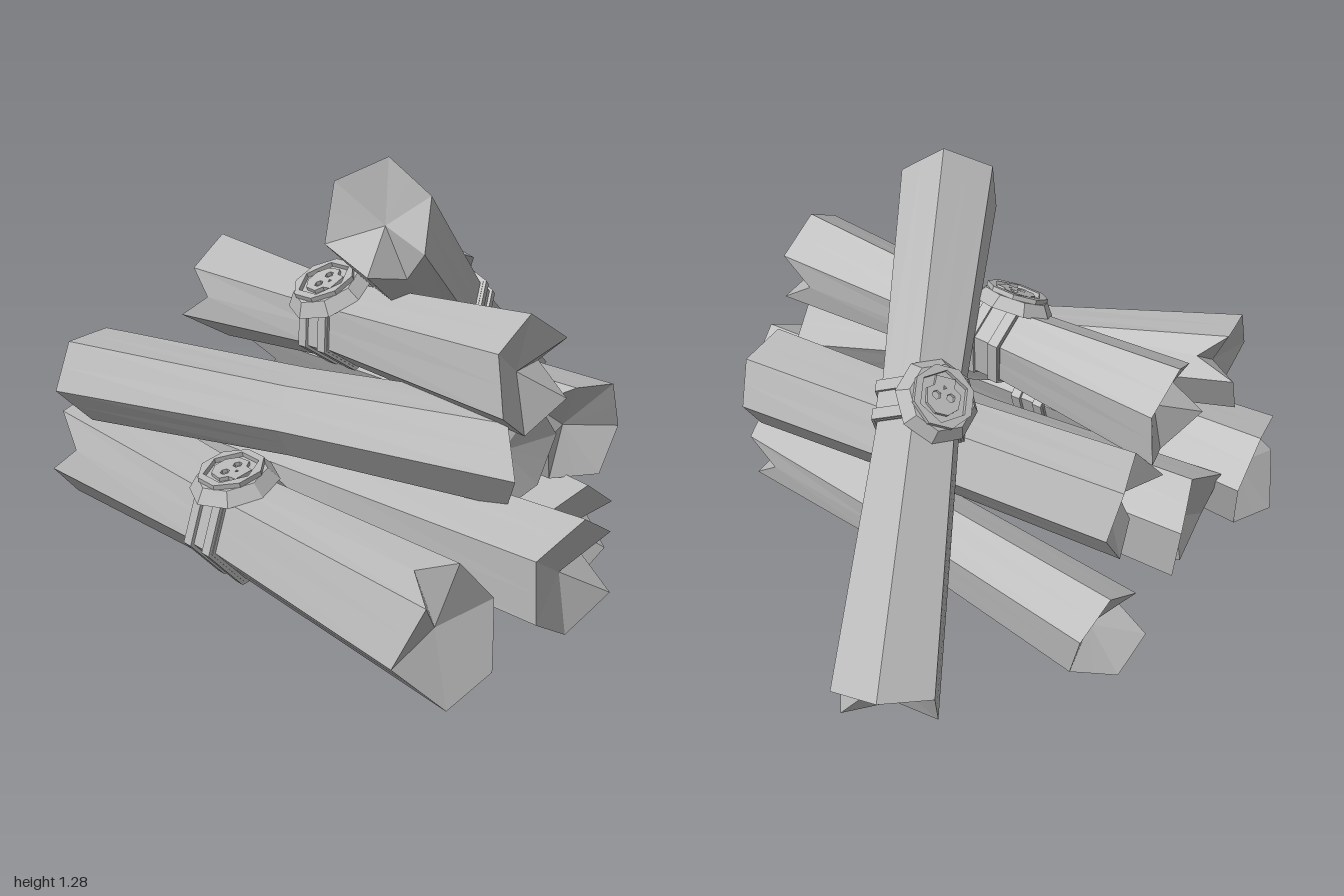
import * as THREE from 'three';

const parchment = new THREE.MeshStandardMaterial({ color: 0xb8b8b8, flatShading: true });
parchment.name = 'grey parchment';

function seeded(seed) {
  let s = seed * 7919 + 17;
  return () => ((s = (s * 16807) % 2147483647) / 2147483647);
}

// Six-sided roll along z: cinched waist, flared ragged ends with V notches and sunken caps
function rollGeometry(length, endRadius, waistRadius, waistZ, seed) {
  const rand = seeded(seed);
  const N = 12;
  const point = (j, r, z) => {
    const a = (j * Math.PI) / 6;
    const rr = j % 2 ? r * Math.cos(Math.PI / 6) : r;
    return new THREE.Vector3(Math.cos(a) * rr, Math.sin(a) * rr, z);
  };
  const endRing = (sign) => {
    const depth = Array.from({ length: 6 }, () => rand() * 0.08);
    const wide = Array.from({ length: 6 }, () => endRadius * (0.95 + rand() * 0.1));
    const notch = Math.floor(rand() * 6);
    return Array.from({ length: N }, (_, j) => {
      const k = j >> 1, n = (k + 1) % 6;
      if (j % 2 === 0) return point(j, wide[k], sign * (length / 2 - depth[k]));
      const cut = k === notch ? 0.11 : 0;
      return point(j, (wide[k] + wide[n]) / 2, sign * (length / 2 - (depth[k] + depth[n]) / 2 - cut));
    });
  };
  const middle = Array.from({ length: N }, (_, j) => point(j, waistRadius, waistZ));
  const rings = [endRing(-1), middle, endRing(1)];
  const pos = [];
  const tri = (...pts) => pts.forEach((p) => pos.push(p.x, p.y, p.z));
  const back = new THREE.Vector3(0, 0, -length / 2 + 0.11);
  const front = new THREE.Vector3(0, 0, length / 2 - 0.11);
  for (let j = 0; j < N; j++) {
    const n = (j + 1) % N;
    for (let i = 0; i < 2; i++) {
      const a = rings[i], b = rings[i + 1];
      tri(a[j], a[n], b[n]);
      tri(a[j], b[n], b[j]);
    }
    tri(back, rings[0][n], rings[0][j]);
    tri(front, rings[2][j], rings[2][n]);
  }
  const geo = new THREE.BufferGeometry();
  geo.setAttribute('position', new THREE.Float32BufferAttribute(pos, 3));
  geo.computeVertexNormals();
  return geo;
}

function add(parent, name, geo, y = 0, z = 0) {
  const mesh = new THREE.Mesh(geo, parchment);
  mesh.name = name;
  mesh.position.set(0, y, z);
  parent.add(mesh);
}

function ngon(Type, r, cx = 0, cy = 0, sides = 6) {
  const pts = Array.from({ length: sides }, (_, i) => {
    const a = ((i + 0.5) / sides) * Math.PI * 2;
    return new THREE.Vector2(cx + Math.cos(a) * r, cy + Math.sin(a) * r);
  });
  return new Type(pts);
}

const plate = (shape, depth) =>
  new THREE.ExtrudeGeometry(shape, { depth, bevelEnabled: false }).rotateX(-Math.PI / 2);

// Ribbon band around the waist, with a wax seal on its +y flat
function addBandAndSeal(scroll, r, z) {
  const hoop = (radius, width) =>
    new THREE.CylinderGeometry(radius, radius, width, 6, 1, false, Math.PI / 6).rotateX(-Math.PI / 2);
  add(scroll, 'band', hoop(r * 1.09, 0.13), 0, z);
  for (const s of [-1, 1]) add(scroll, 'bandEdge', hoop(r * 1.17, 0.035), 0, z + s * 0.045);

  const y = r * 0.9;
  add(scroll, 'sealWax', new THREE.CylinderGeometry(0.105, 0.135, 0.04, 8), y + 0.02, z);
  const rim = ngon(THREE.Shape, 0.1, 0, 0, 8);
  rim.holes.push(ngon(THREE.Path, 0.082));
  add(scroll, 'sealRim', plate(rim, 0.015), y + 0.04, z);

  // Raised face emblem with hollow eyes and nose
  const face = new THREE.Shape([
    [-0.03, -0.06], [0.03, -0.06], [0.033, -0.03], [0.055, -0.015],
    [0.05, 0.03], [0.02, 0.055], [-0.02, 0.055], [-0.05, 0.03], [-0.055, -0.015], [-0.033, -0.03],
  ].map(([px, py]) => new THREE.Vector2(px, py)));
  face.holes.push(
    ngon(THREE.Path, 0.014, -0.023, 0),
    ngon(THREE.Path, 0.014, 0.023, 0),
    ngon(THREE.Path, 0.007, 0, -0.027, 3),
  );
  add(scroll, 'sealEmblem', plate(face, 0.012), y + 0.04, z);
}

// from = back end, to = front end, up = direction of the seal flat, band = its place along the axis
const SCROLLS = [
  { name: 'bottomLeftScroll', from: [-0.58, 0.225, -0.91], to: [-0.83, 0.23, 0.87], up: [-0.2, 1, 0], r: 0.188, waist: 0.148, band: -0.04 },
  { name: 'bottomMiddleScroll', from: [-0.27, 0.18, -0.82], to: [-0.355, 0.225, 0.93], up: [-0.5, 1, 0], r: 0.182, waist: 0.165 },
  { name: 'bottomRightScroll', from: [0.365, 0.19, -0.79], to: [-0.065, 0.18, 0.73], up: [-1, 0.1, 0], r: 0.155, waist: 0.13, band: 0.1 },
  { name: 'middleRightScroll', from: [0.11, 0.475, -0.73], to: [0.03, 0.465, 0.66], up: [0.15, 1, 0], r: 0.165, waist: 0.152 },
  { name: 'middleLeftScroll', from: [-0.72, 0.54, -0.75], to: [-0.27, 0.5, 0.69], up: [-0.1, 1, 0], r: 0.15, waist: 0.132 },
  { name: 'topScroll', from: [-0.13, 0.675, -0.76], to: [-0.325, 0.76, 0.74], up: [-0.45, 1, 0], r: 0.168, waist: 0.122, band: -0.09 },
  { name: 'leaningScroll', from: [0.91, 0.13, -0.315], to: [-0.405, 1.15, 0.2], up: [0.5, 0.62, -0.75], r: 0.168, waist: 0.132, band: 0.05 },
];

export function createModel() {
  const model = new THREE.Group();
  model.name = 'scrollPile';
  SCROLLS.forEach((s, i) => {
    const from = new THREE.Vector3(...s.from), to = new THREE.Vector3(...s.to);
    const axis = to.clone().sub(from), length = axis.length();
    axis.normalize();
    const side = new THREE.Vector3(...s.up).cross(axis).normalize();
    const up = axis.clone().cross(side);
    const scroll = new THREE.Group();
    scroll.name = s.name;
    scroll.position.copy(from).add(to).multiplyScalar(0.5);
    scroll.quaternion.setFromRotationMatrix(new THREE.Matrix4().makeBasis(side, up, axis));
    add(scroll, 'roll', rollGeometry(length, s.r, s.waist, s.band ?? 0, i + 3));
    if (s.band !== undefined) addBandAndSeal(scroll, s.waist, s.band);
    model.add(scroll);
  });

  // Centre the pile and rest it on the ground
  const box = new THREE.Box3().setFromObject(model, true);
  const mid = box.getCenter(new THREE.Vector3());
  model.position.set(-mid.x, -box.min.y, -mid.z);
  return model;
}
